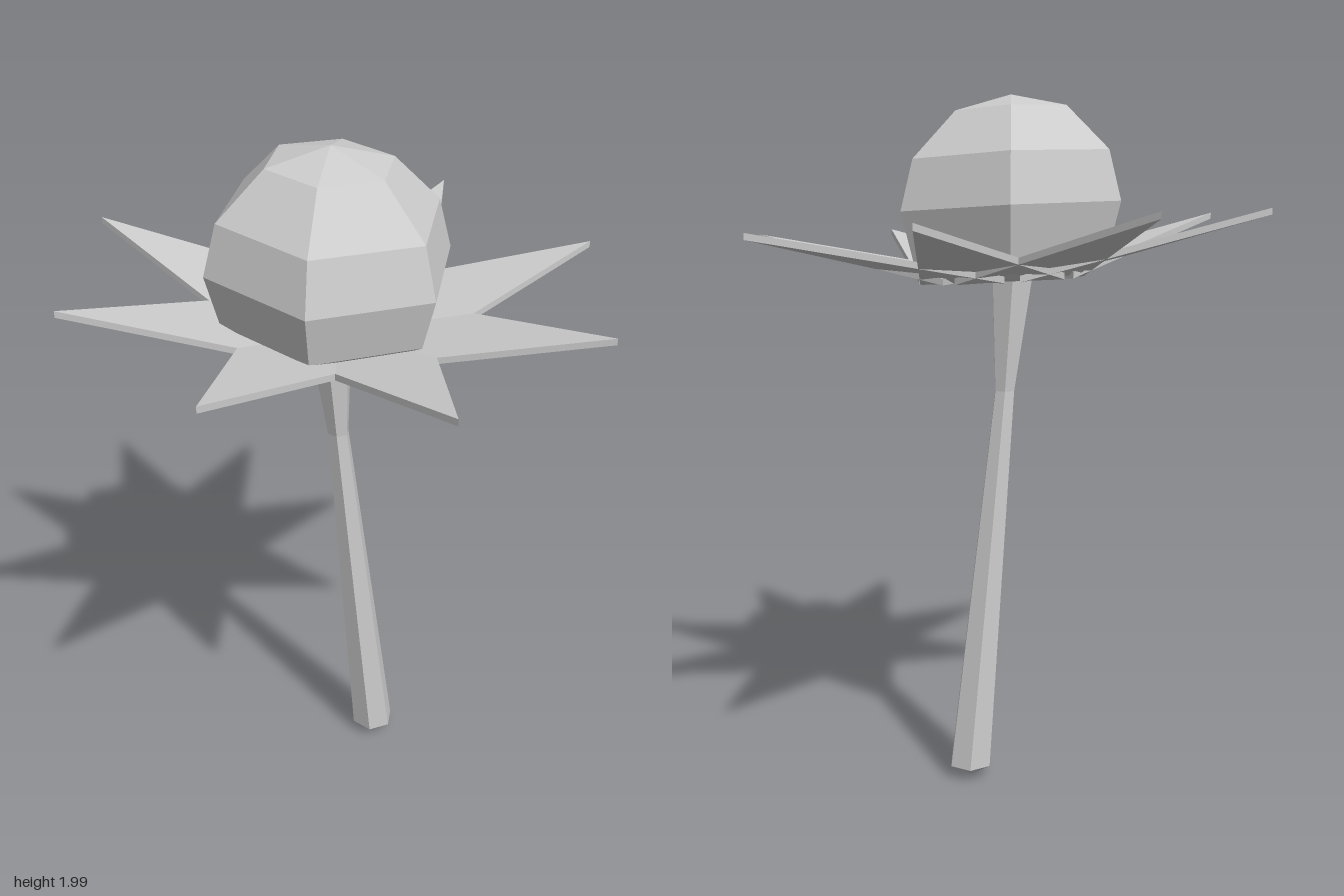
import * as THREE from 'three';

const material = new THREE.MeshStandardMaterial({ color: 0xcccccc, flatShading: true });

function part(name, geometry) {
  geometry.computeVertexNormals();
  const mesh = new THREE.Mesh(geometry, material);
  mesh.name = name;
  return mesh;
}

// Six-sided turned form with corners on the x axis; rings are [radius, height, x offset]
function hexLathe(rings) {
  const points = rings.map(([r, y]) => new THREE.Vector2(r, y));
  const geometry = new THREE.LatheGeometry(points, 6, Math.PI / 2);
  const pos = geometry.attributes.position;
  for (let i = 0; i < pos.count; i++) {
    pos.setX(i, pos.getX(i) + rings[i % rings.length][2]);
  }
  return geometry;
}

// Thin triangular slab pointing along +x, rising towards its tip
function petalGeometry() {
  const inner = 0.11, tip = 0.76, halfWidth = 0.21;
  const shape = new THREE.Shape([
    new THREE.Vector2(inner, -halfWidth),
    new THREE.Vector2(tip, 0),
    new THREE.Vector2(inner, halfWidth),
  ]);
  const geometry = new THREE.ExtrudeGeometry(shape, { depth: 0.018, bevelEnabled: false });
  geometry.rotateX(-Math.PI / 2);
  const pos = geometry.attributes.position;
  for (let i = 0; i < pos.count; i++) {
    pos.setY(i, pos.getY(i) + 1.487 + 0.225 * (pos.getX(i) - inner));
  }
  return geometry;
}

export function createModel() {
  const model = new THREE.Group();
  model.name = 'flower';

  // Leaning stem: pointed foot, narrow neck, flared top
  model.add(part('stem', hexLathe([
    [0, 0.005, 0.11], [0.066, 0.045, 0.11], [0.031, 1.17, -0.01],
    [0.065, 1.5, -0.035], [0, 1.53, -0.035],
  ])));

  // Slight lean shared by the whole flower head
  const lean = new THREE.Matrix4().set(
    1, 0, -0.033, 0,
    -0.026, 1, -0.05, 0,
    0, 0, 1, 0,
    0, 0, 0, 1);

  // Faceted round centre
  const centre = hexLathe([
    [0, 1.49, -0.03], [0.22, 1.495, -0.03], [0.31, 1.55, -0.03], [0.348, 1.69, -0.03],
    [0.31, 1.828, -0.03], [0.177, 1.955, -0.03], [0, 1.999, -0.03],
  ]);
  model.add(part('flowerCentre', centre.applyMatrix4(lean)));

  // Ring of eight petals
  const petals = new THREE.Group();
  petals.name = 'petals';
  for (let i = 0; i < 8; i++) {
    const petal = petalGeometry().rotateY(i * Math.PI / 4).applyMatrix4(lean);
    petals.add(part('petal', petal));
  }
  model.add(petals);
  return model;
}
